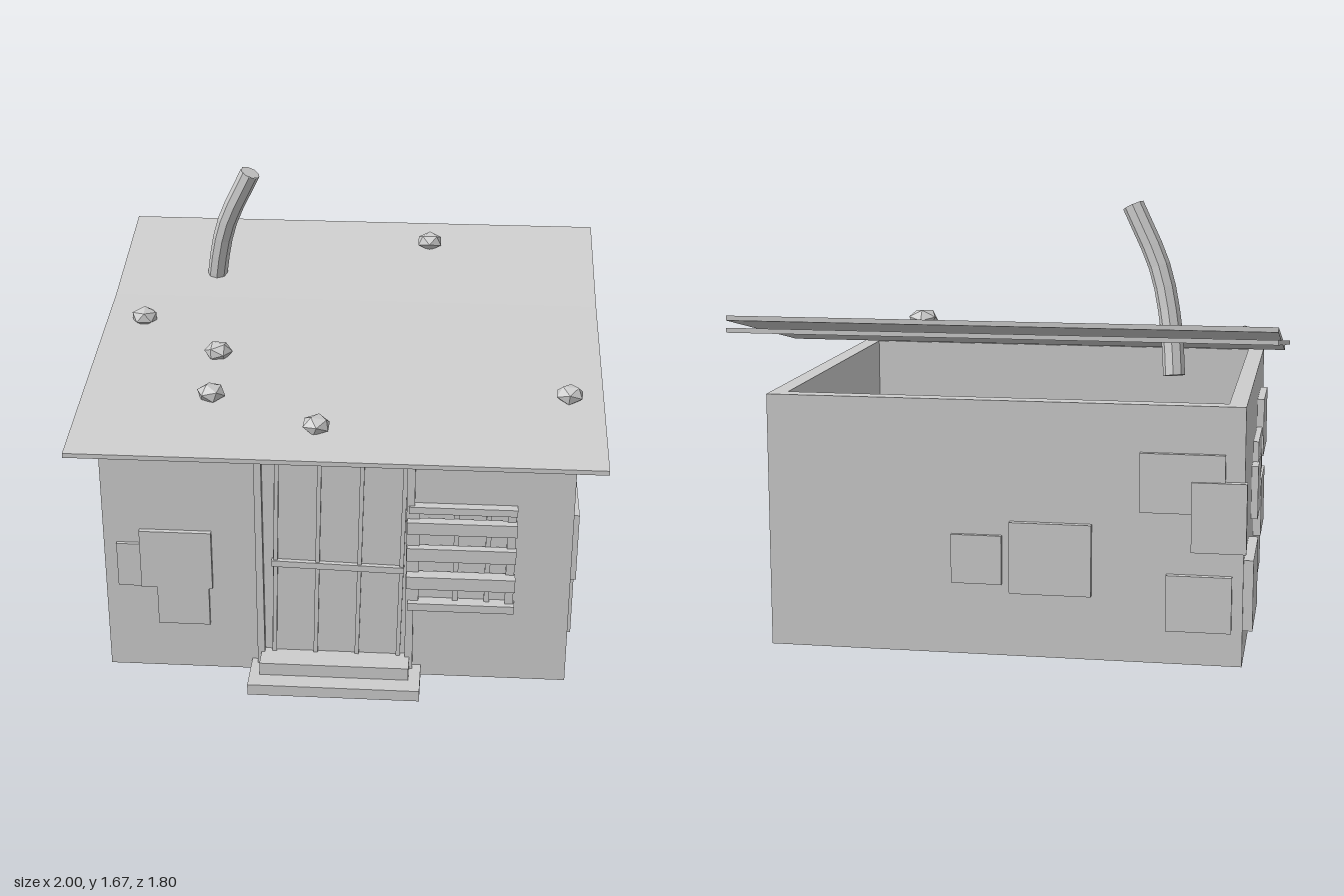
import * as THREE from 'three';

export function createModel() {
  const root = new THREE.Group();
  root.name = 'hut';
  const stone = new THREE.MeshStandardMaterial({ color: 0xcccccc, flatShading: true });
  stone.name = 'plain grey';

  const add = (geometry, name, parent = root) => {
    const mesh = new THREE.Mesh(geometry, stone);
    mesh.name = name;
    parent.add(mesh);
    return mesh;
  };
  // Box given by its limits on each axis
  const block = (name, x0, x1, y0, y1, z0, z1, parent = root) => {
    const mesh = add(new THREE.BoxGeometry(x1 - x0, y1 - y0, z1 - z0), name, parent);
    mesh.position.set((x0 + x1) / 2, (y0 + y1) / 2, (z0 + z1) / 2);
    return mesh;
  };
  const rect = (Type, x0, x1, z0, z1) => new Type([
    new THREE.Vector2(x0, -z0), new THREE.Vector2(x0, -z1),
    new THREE.Vector2(x1, -z1), new THREE.Vector2(x1, -z0)]);

  // Open-topped walls and floor
  const W = 0.89, FRONT = 0.72, BACK = -0.79, T = 0.065;
  const plan = rect(THREE.Shape, -W, W, BACK, FRONT);
  plan.holes.push(rect(THREE.Path, -W + T, W - T, BACK + T, FRONT - T));
  const walls = new THREE.ExtrudeGeometry(plan, { depth: 0.965, bevelEnabled: false });
  add(walls.rotateX(-Math.PI / 2), 'walls');
  block('floor', -W + T, W - T, 0, 0.03, BACK + T, FRONT - T);

  // Two overlapping roof sheets, each sloping from front to back
  const roofSheet = (name, z0, y0, z1, y1) => {
    const t = 0.018;
    const side = new THREE.Shape([
      new THREE.Vector2(-z0, y0 - t), new THREE.Vector2(-z1, y1 - t),
      new THREE.Vector2(-z1, y1), new THREE.Vector2(-z0, y0)]);
    const geo = new THREE.ExtrudeGeometry(side, { depth: 2, bevelEnabled: false });
    add(geo.translate(0, 0, -1).rotateY(Math.PI / 2), name);
  };
  roofSheet('lowerRoofSheet', 0.825, 0.985, -0.9, 1.225);
  roofSheet('upperRoofSheet', -0.04, 1.085, -0.9, 1.27);

  // Stones holding the roof down
  const roofY = z => z > -0.3 ? 0.985 + 0.139 * (0.825 - z) : 1.085 + 0.215 * (-0.04 - z);
  [[0.3, -0.73], [-0.845, -0.11], [-0.51, 0.135], [-0.5, 0.43], [-0.08, 0.62], [0.87, 0.37]]
    .forEach(([x, z], i) => {
      const geo = new THREE.IcosahedronGeometry(0.057, 0);
      geo.rotateX(0.5 + i * 1.3).rotateZ(i * 0.8).rotateY(i * 2.1).scale(1, 0.68, 0.95);
      add(geo, 'roofStone').position.set(x, roofY(z) + 0.019, z);
    });

  // Bent stovepipe with closed ends
  const pipe = new THREE.CatmullRomCurve3([
    new THREE.Vector3(-0.605, 1.03, -0.515), new THREE.Vector3(-0.59, 1.2, -0.48),
    new THREE.Vector3(-0.543, 1.42, -0.445), new THREE.Vector3(-0.435, 1.655, -0.412)]);
  add(new THREE.TubeGeometry(pipe, 8, 0.041, 8), 'stovepipe');
  for (const [t, sign] of [[0, -1], [1, 1]]) {
    const cap = add(new THREE.CircleGeometry(0.041, 8), 'stovepipeCap');
    cap.position.copy(pipe.getPoint(t));
    cap.quaternion.setFromUnitVectors(new THREE.Vector3(0, 0, 1),
      pipe.getTangent(t).multiplyScalar(sign));
  }

  // Door posts and steps
  block('doorPost', -0.305, -0.277, 0, 0.965, FRONT - 0.01, 0.747);
  block('doorPost', 0.267, 0.297, 0, 0.965, FRONT - 0.01, 0.747);
  block('lowerStep', -0.33, 0.33, 0, 0.045, FRONT, 0.9);
  block('upperStep', -0.29, 0.285, 0.045, 0.097, FRONT, 0.828);

  // Slightly leaning door with upright battens and a crossbar
  const door = new THREE.Group();
  door.name = 'door';
  door.position.set(0.005, 0.49, FRONT);
  door.rotation.z = -0.025;
  root.add(door);
  block('doorPanel', -0.245, 0.245, -0.41, 0.45, -0.005, 0.006, door);
  for (let i = 0; i < 4; i++) {
    const x = -0.235 + i * 0.16;
    block('doorBatten', x - 0.008, x + 0.008, -0.41, 0.45, 0, 0.018, door);
  }
  block('doorCrossbar', -0.25, 0.255, -0.013, 0.013, 0, 0.025, door);

  // Window frame, bars and shutter slats
  for (const x of [0.3, 0.66]) block('windowSide', x - 0.016, x + 0.016, 0.335, 0.765, FRONT - 0.005, 0.748);
  for (const x of [0.455, 0.575]) block('windowBar', x - 0.01, x + 0.01, 0.345, 0.745, FRONT - 0.005, 0.738);
  block('windowTop', 0.275, 0.68, 0.742, 0.77, FRONT - 0.005, 0.757);
  block('windowBottom', 0.275, 0.68, 0.325, 0.357, FRONT - 0.005, 0.77);
  [[0.665, 0.715, 0.778], [0.545, 0.6, 0.772], [0.432, 0.485, 0.788]].forEach(([a, b, z]) =>
    block('windowSlat', 0.27, 0.68, a, b, 0.738, z));

  // Repair patches: start, end, bottom, top, thickness along each wall
  const front = [[-0.75, -0.475, 0.37, 0.615, 0.02], [-0.84, -0.7, 0.37, 0.555, 0.014],
    [-0.69, -0.49, 0.205, 0.4, 0.016]];
  const back = [[0, 0.19, 0.275, 0.46, 0.016], [-0.335, -0.03, 0.245, 0.515, 0.024],
    [-0.82, -0.51, 0.57, 0.79, 0.02], [-0.9, -0.7, 0.43, 0.69, 0.03],
    [-0.85, -0.61, 0.13, 0.34, 0.024]];
  const plusX = [[0.4, 0.69, 0.44, 0.72, 0.022], [0.42, 0.655, 0.18, 0.445, 0.016],
    [-0.24, -0.01, 0.585, 0.835, 0.02], [-0.525, -0.22, 0.14, 0.41, 0.024],
    [-0.72, -0.48, 0.54, 0.82, 0.018]];
  const minusX = [[-0.78, -0.42, 0.135, 0.4, 0.036], [-0.17, 0.16, 0.48, 0.72, 0.022],
    [-0.26, 0, 0.43, 0.64, 0.026], [-0.04, 0.24, 0.31, 0.54, 0.03],
    [0.14, 0.45, 0.6, 0.835, 0.028]];
  const E = 0.005;
  front.forEach(([a, b, c, d, t]) => block('frontPatch', a, b, c, d, FRONT - E, FRONT + t));
  back.forEach(([a, b, c, d, t]) => block('backPatch', a, b, c, d, BACK - t, BACK + E));
  plusX.forEach(([a, b, c, d, t]) => block('leftPatch', W - E, W + t, c, d, a, b));
  minusX.forEach(([a, b, c, d, t]) => block('rightPatch', -W - t, -W + E, c, d, a, b));

  return root;
}
